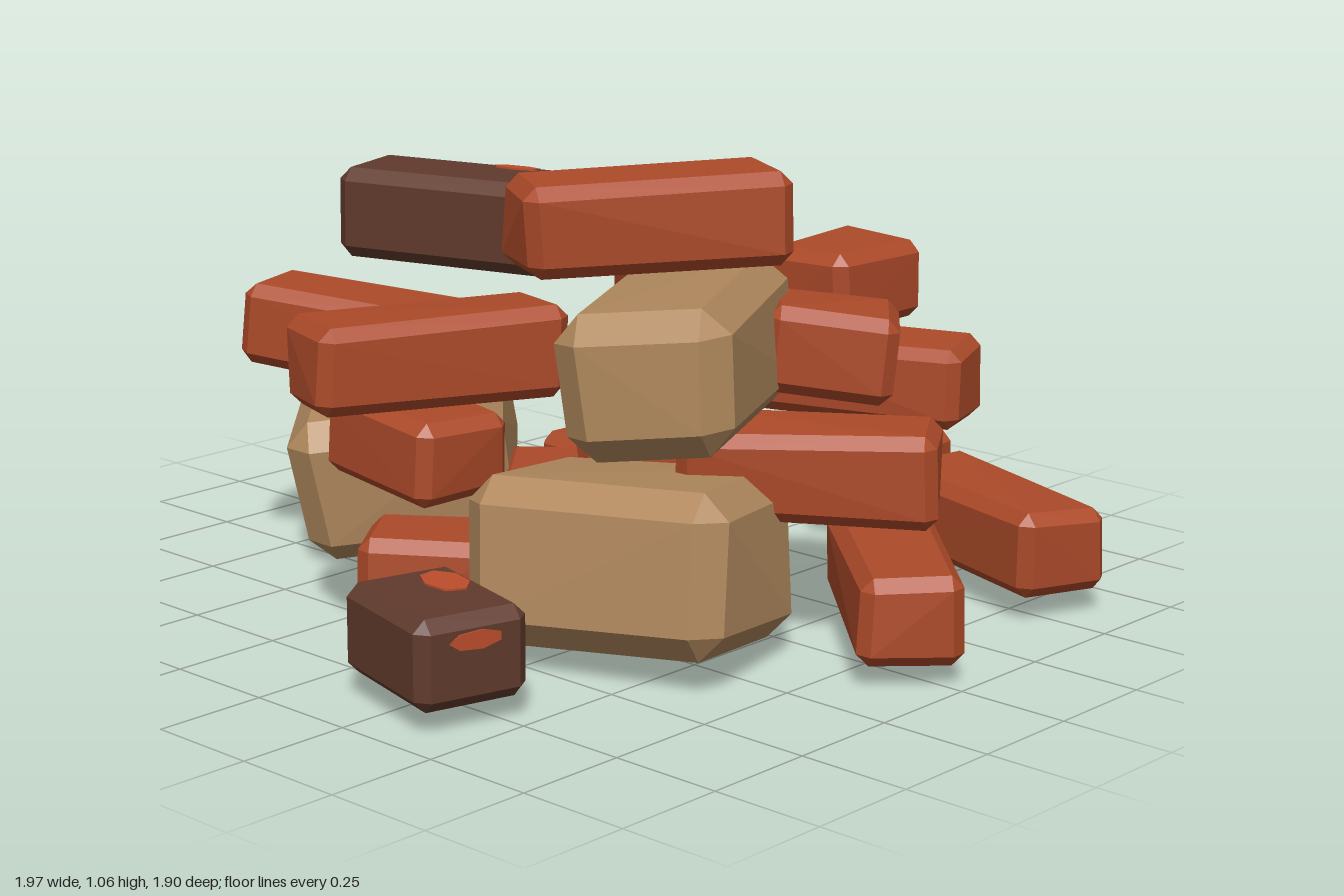
import * as THREE from 'three';
import { ConvexGeometry } from 'three/addons/geometries/ConvexGeometry.js';

// Small seeded generator for worn, uneven corners
function seeded(seed) {
  let s = seed * 7919 + 17;
  return () => {
    s = (s * 16807) % 2147483647;
    return s / 2147483647 - 0.5;
  };
}

// Block with chamfered edges and slightly uneven corners
function chamferedBlock([w, h, d], bevel, wear, seed) {
  const rand = seeded(seed);
  const points = [];
  for (const x of [-1, 1]) for (const y of [-1, 1]) for (const z of [-1, 1]) {
    const corner = [rand(), rand(), rand()].map((r) => r * wear);
    for (let axis = 0; axis < 3; axis++) {
      const p = [x * w / 2, y * h / 2, z * d / 2].map((v, i) =>
        v - Math.sign(v) * (i === axis ? 0 : bevel) + corner[i]);
      points.push(new THREE.Vector3(...p));
    }
  }
  return new ConvexGeometry(points);
}

export function createModel() {
  const group = new THREE.Group();
  const material = (name, color) => {
    const m = new THREE.MeshStandardMaterial({ color });
    m.name = name;
    return m;
  };
  const brickRed = material('brickRed', 0xac4a29);
  const burntBrown = material('burntBrown', 0x613a2d);
  const stoneTan = material('stoneTan', 0xb0885d);
  const exposedRed = material('exposedRed', 0xbc4e2c);

  let seed = 1;
  // yaw in degrees, pitch and roll in radians
  function block(name, mat, size, pos, yaw, roll = 0, pitch = 0, bevel = 0.026, wear = 0.012) {
    const mesh = new THREE.Mesh(chamferedBlock(size, bevel, wear, seed++), mat);
    mesh.name = name;
    mesh.position.set(...pos);
    mesh.rotation.set(pitch, THREE.MathUtils.degToRad(yaw), roll, 'YXZ');
    group.add(mesh);
    return mesh;
  }

  // Stones: size, position, yaw, roll, pitch
  const stones = [
    [[0.63, 0.34, 0.48], [-0.64, 0.23, -0.01], -47, -0.12, 0.12],
    [[0.58, 0.34, 0.44], [0.36, 0.225, 0.30], 17, 0.05, -0.13],
    [[0.68, 0.31, 0.36], [0.46, 0.655, 0.26], -61, 0.02, 0.12],
  ];
  for (const [size, pos, yaw, roll, pitch] of stones) {
    block('stone', stoneTan, size, pos, yaw, roll, pitch, 0.055, 0.02);
  }

  // Whole bricks: position, yaw, roll
  const wholeBricks = [
    [[0.50, 0.965, 0.40], 59.5, 0.01],
    [[-0.49, 0.545, 0.24], 22.5, -0.09],
    [[0.04, 0.645, 0.56], 68, 0],
    [[-0.17, 0.14, 0.0], -49, 0],
    [[0.585, 0.39, -0.01], 36, 0],
    [[0.625, 0.15, -0.60], -17, 0],
    [[0.73, 0.145, -0.115], -43, 0],
    [[0.14, 0.395, -0.72], 20, 0],
  ];
  for (const [pos, yaw, roll] of wholeBricks) {
    block('brick', brickRed, [0.54, 0.19, 0.22], pos, yaw, roll);
  }

  // Broken half bricks: position, yaw, roll, length
  const halfBricks = [
    [[-0.14, 0.40, 0.425], -7, -0.04, 0.36],
    [[-0.03, 0.145, 0.48], 39, 0, 0.31],
    [[-0.32, 0.14, -0.39], 83, 0, 0.30],
    [[-0.16, 0.395, -0.42], 52, -0.12, 0.32],
    [[0.0, 0.65, -0.27], 56, -0.04, 0.29],
    [[0.12, 0.40, -0.02], 38, 0.1, 0.30],
    [[0.20, 0.14, 0.0], 60, 0, 0.34],
    [[0.575, 0.64, -0.08], 41, -0.1, 0.28],
    [[0.15, 0.145, -0.795], 95, 0, 0.30],
    [[0.21, 0.645, -0.575], 90, 0, 0.30],
  ];
  for (const [pos, yaw, roll, length] of halfBricks) {
    block('halfBrick', brickRed, [length, 0.185, 0.235], pos, yaw, roll);
  }

  // Burnt bricks with patches where the red shows through
  const burntWhole = block('burntBrick', burntBrown, [0.52, 0.19, 0.215], [-0.04, 0.895, 0.365], 18, -0.01, 0, 0.026, 0);
  const burntHalf = block('burntHalfBrick', burntBrown, [0.33, 0.19, 0.25], [0.29, 0.145, 0.785], -15, 0, 0, 0.026, 0);

  function patch(parent, pos, width, depth, turn = 0) {
    const mesh = new THREE.Mesh(new THREE.CylinderGeometry(0.5, 0.5, 0.008, 7), exposedRed);
    mesh.name = 'exposedPatch';
    mesh.scale.set(width, 1, depth);
    mesh.position.set(...pos);
    mesh.rotation.z = turn;
    parent.add(mesh);
  }
  patch(burntHalf, [-0.05, 0.095, -0.05], 0.14, 0.09);
  patch(burntHalf, [0.165, 0.045, 0.0], 0.04, 0.12, -Math.PI / 2);
  patch(burntWhole, [0.08, 0.095, -0.065], 0.11, 0.03);
  patch(burntWhole, [-0.26, 0.05, 0.05], 0.05, 0.05, Math.PI / 2);

  return group;
}
